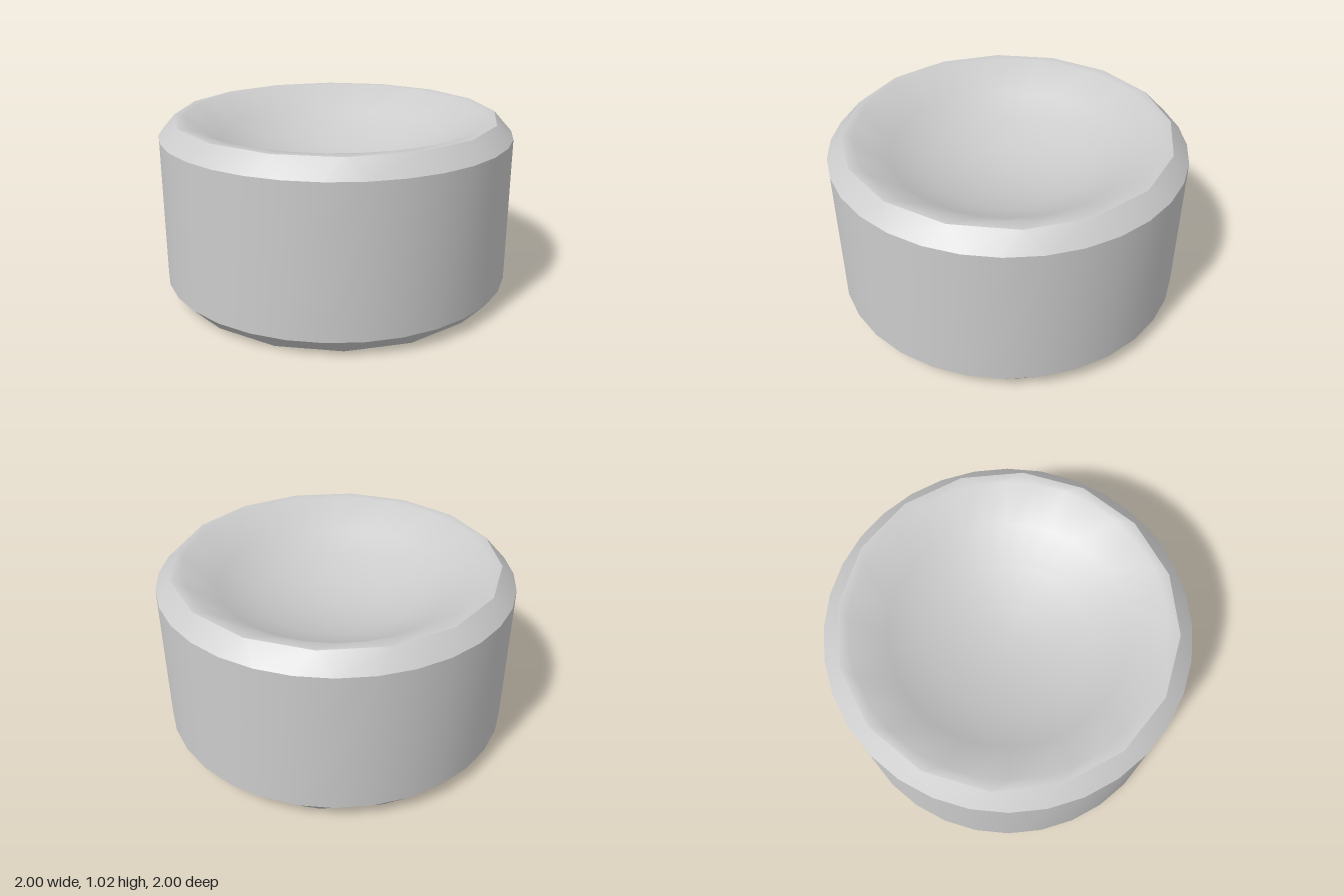
import * as THREE from 'three';
import { toCreasedNormals } from 'three/addons/utils/BufferGeometryUtils.js';

const SIDES = 16;
const SPREAD = Math.PI / 32;
const HEIGHT = 1.02;
const BEVEL = 0.095;
const RIM = 0.92;

// Ring of 32 points: each of the 16 corners is split in two by +-spread.
function ring(radius, y, spread) {
  const points = [];
  for (let i = 0; i < SIDES; i++) {
    for (const s of [-1, 1]) {
      const a = (i / SIDES) * Math.PI * 2 + s * spread;
      points.push(new THREE.Vector3(Math.sin(a) * radius, y, Math.cos(a) * radius));
    }
  }
  return points;
}

// Joins successive rings, skipping triangles that collapse at a shared corner.
function loft(rings, crease) {
  const positions = [];
  const tri = (a, b, c) => {
    if (a.distanceTo(b) < 1e-6 || b.distanceTo(c) < 1e-6 || c.distanceTo(a) < 1e-6) return;
    for (const p of [a, b, c]) positions.push(p.x, p.y, p.z);
  };
  for (let r = 0; r < rings.length - 1; r++) {
    const low = rings[r], high = rings[r + 1];
    for (let i = 0; i < low.length; i++) {
      const j = (i + 1) % low.length;
      tri(low[i], low[j], high[j]);
      tri(low[i], high[j], high[i]);
    }
  }
  const geometry = new THREE.BufferGeometry();
  geometry.setAttribute('position', new THREE.Float32BufferAttribute(positions, 3));
  return toCreasedNormals(geometry, crease);
}

export function createModel() {
  const group = new THREE.Group();
  group.name = 'dishedDrum';
  const material = new THREE.MeshStandardMaterial({ color: 0xcccccc });
  const add = (name, geometry) => {
    const mesh = new THREE.Mesh(geometry, material);
    mesh.name = name;
    group.add(mesh);
  };

  // Outer wall with bevelled lower and upper edges
  const outer = 1 / Math.cos(SPREAD);
  add('bevelledWall', loft([
    ring(RIM, 0, 0),
    ring(outer, BEVEL, SPREAD),
    ring(outer, HEIGHT - BEVEL, SPREAD),
    ring(RIM, HEIGHT, 0),
  ], Math.PI / 6));

  // Flat underside
  const base = new THREE.CircleGeometry(RIM, SIDES);
  base.rotateX(Math.PI / 2);
  add('base', base);

  // Flat lip running into a shallow spherical bowl
  const sphere = 1.38;
  const edge = Math.asin(0.855 / sphere);
  const steps = 4;
  const rings = [ring(RIM, HEIGHT, 0)];
  for (let i = steps; i >= 0; i--) {
    const a = (edge * i) / steps;
    const y = HEIGHT - sphere * (Math.cos(a) - Math.cos(edge));
    rings.push(ring(sphere * Math.sin(a), y, SPREAD));
  }
  add('dish', loft(rings, Math.PI / 3));
  return group;
}
